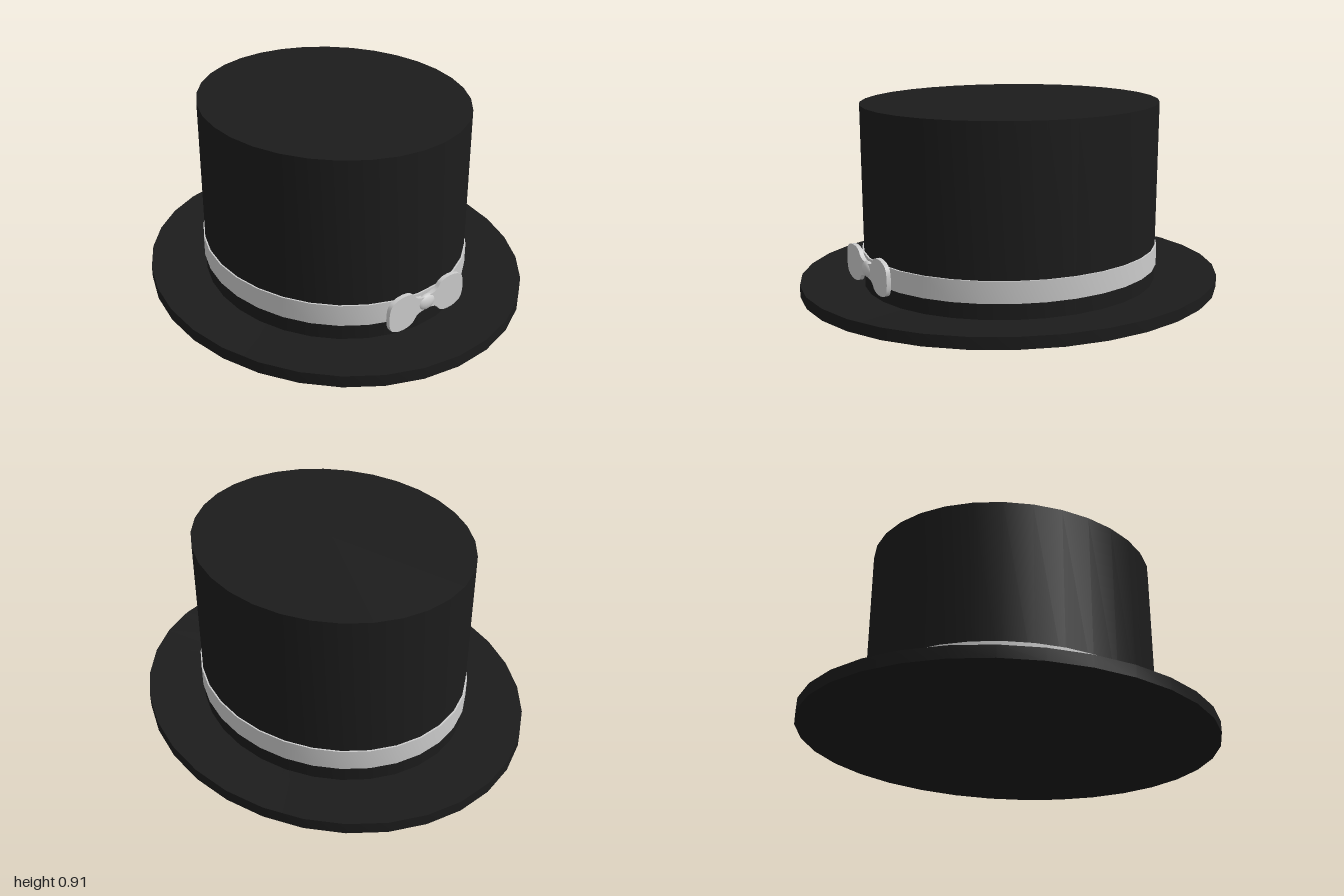
import * as THREE from 'three';
import { toCreasedNormals } from 'three/addons/utils/BufferGeometryUtils.js';

const SEGMENTS = 32;
const OVAL = 0.875; // width of the hat relative to its depth

export function createModel() {
  const hat = new THREE.Group();
  hat.name = 'topHat';
  const felt = new THREE.MeshStandardMaterial({ color: 0x1c1c1c });
  const ribbon = new THREE.MeshStandardMaterial({ color: 0xcccccc });

  function add(parent, name, geometry, material) {
    const mesh = new THREE.Mesh(geometry, material);
    mesh.name = name;
    parent.add(mesh);
    return mesh;
  }

  // Oval turned part from a [radius, height] profile, with crisp edges
  function turned(name, profile, material) {
    const points = profile.map(([r, y]) => new THREE.Vector2(r, y));
    const geometry = new THREE.LatheGeometry(points, SEGMENTS);
    geometry.scale(OVAL, 1, 1);
    return add(hat, name, toCreasedNormals(geometry, 0.6), material);
  }

  // Brim with a closed underside and a slightly raised rim
  turned('brim', [[0, 0], [0.7, 0], [1, 0.03], [1, 0.085], [0.69, 0.055]], felt);
  turned('crown', [[0.7, 0.05], [0.7, 0.908], [0, 0.908]], felt);
  turned('band', [[0.695, 0.13], [0.708, 0.13], [0.708, 0.23], [0.695, 0.23]], ribbon);

  // Bow, tangent to the band and a little to the model's left
  const bow = new THREE.Group();
  bow.name = 'bow';
  bow.position.set(0.15, 0.187, 0.7);
  bow.rotation.y = 0.3;
  hat.add(bow);

  // One quarter of the bow outline, mirrored into all four
  const quarter = [
    [0.028, 0.033], [0.06, 0.045], [0.082, 0.07], [0.115, 0.082],
    [0.168, 0.08], [0.205, 0.062], [0.218, 0.03],
  ];
  const mirror = (sx, sy) => quarter.map(([x, y]) => new THREE.Vector2(x * sx, y * sy));
  const outline = [
    ...mirror(1, -1), ...mirror(1, 1).reverse(),
    ...mirror(-1, 1), ...mirror(-1, -1).reverse(),
  ].map((p) => new THREE.Vector3(p.x, p.y, 0));
  const curve = new THREE.CatmullRomCurve3(outline, true);
  const shape = new THREE.Shape(curve.getPoints(84).slice(0, -1).map((p) => new THREE.Vector2(p.x, p.y)));
  const loops = new THREE.ExtrudeGeometry(shape, { depth: 0.02, bevelEnabled: false });
  loops.translate(0, 0, -0.01);
  add(bow, 'bowLoops', toCreasedNormals(loops, 0.6), ribbon);

  // Rounded knot at the waist of the bow
  const knot = add(bow, 'bowKnot', new THREE.SphereGeometry(1, 20, 12), ribbon);
  knot.scale.set(0.05, 0.038, 0.023);

  return hat;
}
